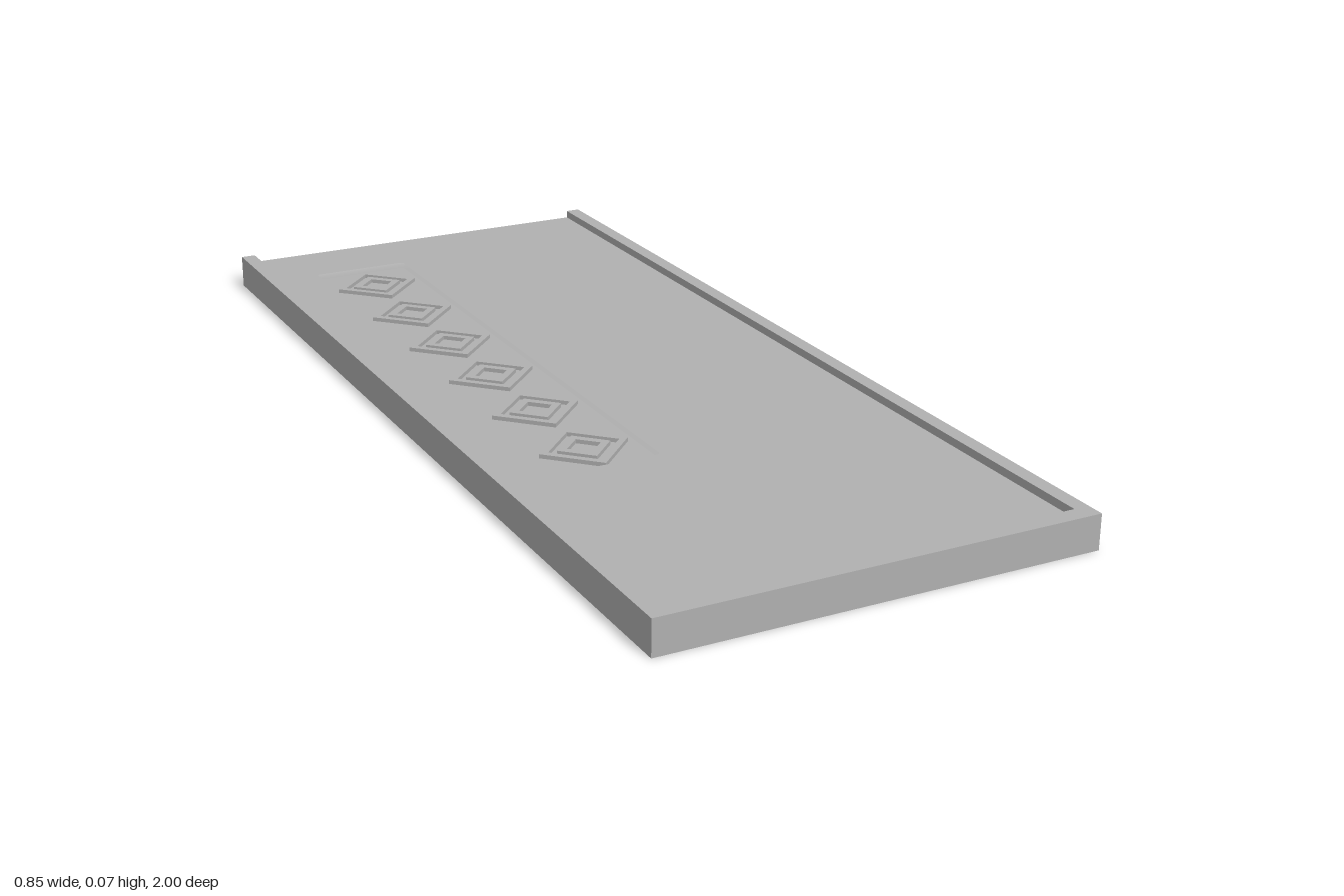
import * as THREE from 'three';

const grey = new THREE.MeshStandardMaterial({ color: 0xb0b0b0 });
grey.name = 'plainGrey';

// Flat outline in plan (x, z), extruded from y0 up to y1
function slab(name, outline, holes, y0, y1) {
  const flip = (pts) => pts.map(([x, z]) => new THREE.Vector2(x, -z));
  const shape = new THREE.Shape(flip(outline));
  for (const h of holes) shape.holes.push(new THREE.Path(flip(h)));
  const geo = new THREE.ExtrudeGeometry(shape, { depth: y1 - y0, bevelEnabled: false });
  geo.rotateX(-Math.PI / 2);
  geo.translate(0, y0, 0);
  const mesh = new THREE.Mesh(geo, grey);
  mesh.name = name;
  return mesh;
}

const rect = (x0, x1, z0, z1) => [[x0, z0], [x1, z0], [x1, z1], [x0, z1]];
const diamond = (z, r, x = -0.198) => [[x - r, z], [x, z + r], [x + r, z], [x, z - r]];

// Rectangle with small clipped corners
const softRect = (x0, x1, z0, z1, c) => [
  [x0 + c, z0], [x1 - c, z0], [x1, z0 + c], [x1, z1 - c],
  [x1 - c, z1], [x0 + c, z1], [x0, z1 - c], [x0, z0 + c],
];

export function createModel() {
  const group = new THREE.Group();
  group.name = 'panel';

  // Raised edging on both long sides and the front, open at the back
  const X = 0.425, inX = 0.395, inZ = 0.965;
  group.add(slab('rim', [
    [-X, -1], [-inX, -1], [-inX, inZ], [inX, inZ], [inX, -1], [X, -1], [X, 1], [-X, 1],
  ], [], 0, 0.068));

  // Main board with a window, and a slightly thinner front section
  const top = 0.052, bottom = 0.017, seam = 0.55;
  const window_ = softRect(-0.3, -0.095, -0.845, 0.41, 0.005);
  group.add(slab('board', rect(-inX, inX, -1, seam), [window_], bottom, top));
  group.add(slab('frontBoard', rect(-inX, inX, seam, inZ), [], bottom + 0.002, top));

  // Thin plate set into the window
  const plateLow = 0.029, plateHigh = 0.04;
  group.add(slab('insetPlate', window_, [], plateLow, plateHigh));

  // Six nested diamond ornaments, standing out on both faces of the plate
  const pitch = 0.209, relief = 0.008;
  for (let i = 0; i < 6; i++) {
    const z = -0.2175 + (i - 2.5) * pitch;
    const ornament = new THREE.Group();
    ornament.name = 'diamondOrnament';
    for (const [outer, inner] of [[0.09, 0.072], [0.054, 0.034]]) {
      ornament.add(slab('diamondRing', diamond(z, outer), [diamond(z, inner)],
        plateLow - relief, plateHigh + relief));
    }
    group.add(ornament);
  }
  return group;
}
